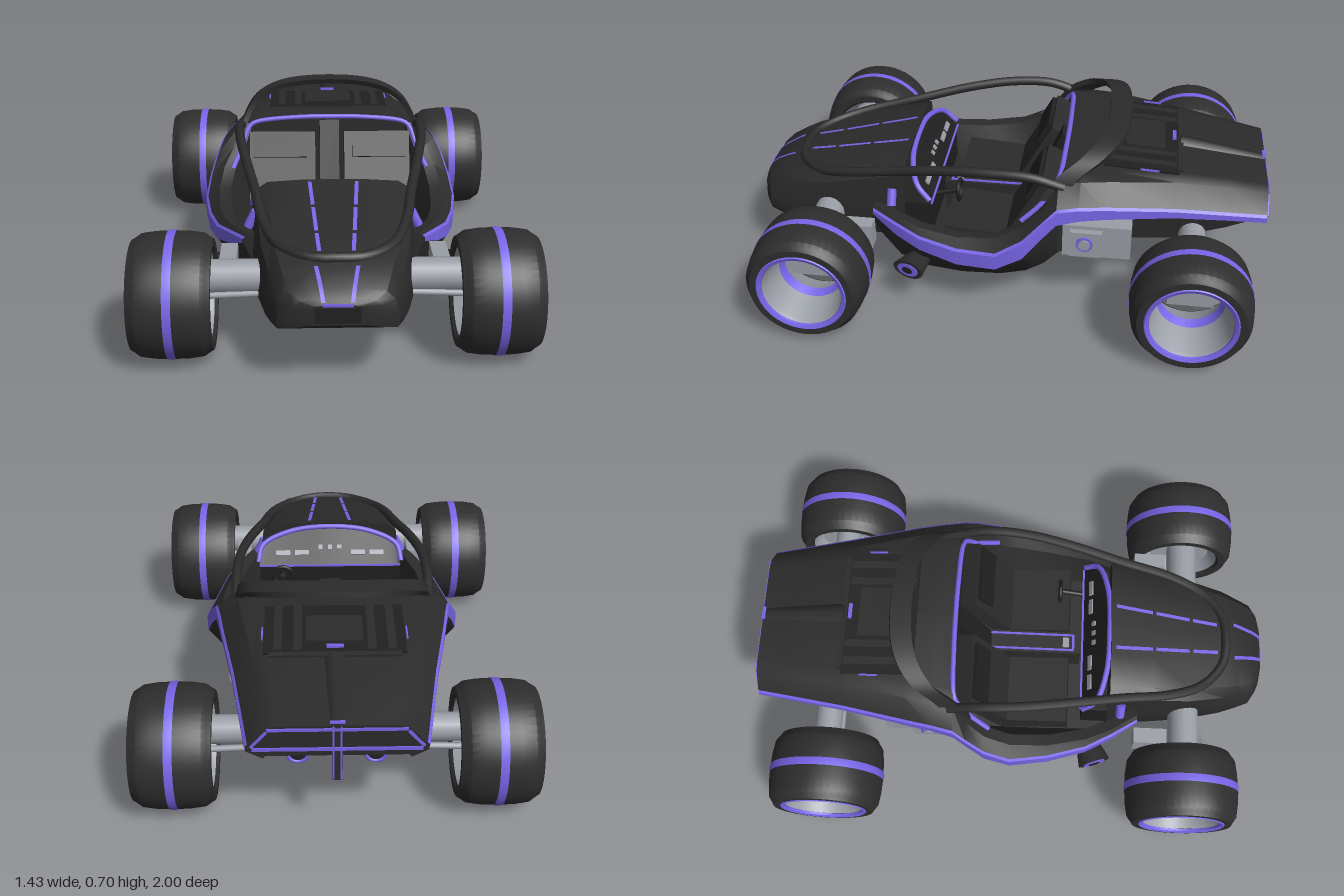
import * as THREE from 'three';
import { toCreasedNormals } from 'three/addons/utils/BufferGeometryUtils.js';

const V = (x, y, z) => new THREE.Vector3(x, y, z);
const mat = (name, color) => new THREE.MeshStandardMaterial({ name, color, side: THREE.DoubleSide });

export function createModel() {
  const car = new THREE.Group();
  car.name = 'buggy';
  const body = mat('body black', 0x2b2b2b), dark = mat('deep black', 0x202020);
  const rubber = mat('tyre black', 0x2e2e2e), purple = mat('trim purple', 0x7b68ee);
  const metal = mat('metal grey', 0x9a9ea6);

  const add = (name, geo, material, parent = car) => {
    const m = new THREE.Mesh(geo, material);
    m.name = name;
    parent.add(m);
    return m;
  };
  const box = (name, material, [w, h, d], [x, y, z], rx = 0) => {
    const m = add(name, new THREE.BoxGeometry(w, h, d), material);
    m.position.set(x, y, z);
    m.rotation.x = rx;
    return m;
  };
  // cylinder between two points
  const rod = (name, material, a, b, r, r2 = r, sides = 16) => {
    const m = add(name, new THREE.CylinderGeometry(r2, r, a.distanceTo(b), sides), material);
    m.position.copy(a).lerp(b, 0.5);
    m.quaternion.setFromUnitVectors(V(0, 1, 0), b.clone().sub(a).normalize());
    return m;
  };
  const tube = (name, material, pts, r) =>
    add(name, new THREE.TubeGeometry(new THREE.CatmullRomCurve3(pts), 64, r, 8), material);
  // half a path, mirrored across x = 0
  const mirrored = pts => [...pts, ...pts.filter(p => p.x !== 0).reverse().map(p => V(-p.x, p.y, p.z))];

  // skin over rows of points, optionally as closed rings with end caps
  const loft = (rows, closed) => {
    const n = rows[0].length, index = [];
    for (let i = 0; i < rows.length - 1; i++)
      for (let j = 0; j < (closed ? n : n - 1); j++) {
        const a = i * n + j, b = i * n + (j + 1) % n;
        index.push(a, a + n, b, b, a + n, b + n);
      }
    if (closed) [0, rows.length - 1].forEach((r, k) => {
      const flat = rows[r].map(p => new THREE.Vector2(p.x, p.y));
      for (const [a, b, c] of THREE.ShapeUtils.triangulateShape(flat, []))
        index.push(r * n + a, r * n + (k ? c : b), r * n + (k ? b : c));
    });
    const g = new THREE.BufferGeometry().setFromPoints(rows.flat());
    g.setIndex(index);
    return toCreasedNormals(g, 0.6);
  };
  // ring from a half outline running bottom centre to top centre
  const ring = (z, half) => mirrored(half.map(([x, y]) => V(x, y, z)));

  // ---- nose and hood: z, half width, bottom, shoulder, top
  const nose = [
    [1.0, .1, .265, .32, .34], [.988, .16, .25, .33, .355], [.96, .205, .235, .34, .378], [.9, .228, .225, .36, .41],
    [.84, .248, .22, .385, .433], [.7, .28, .22, .415, .462], [.55, .297, .22, .455, .496],
    [.45, .305, .22, .48, .518], [.38, .31, .22, .497, .535]];
  add('hood', loft(nose.map(([z, w, b, s, t]) => ring(z, [[0, b], [w * .97, b], [w, b + .02],
    [w * .97, (b + s) / 2], [w * .92, s], [w * .78, s + (t - s) * .75], [w * .4, t - .002], [0, t]])), true), body);
  const hoodY = z => {
    const i = Math.max(1, nose.findIndex(r => r[0] <= z));
    const [a, b] = [nose[i - 1], nose[i]];
    return a[4] + (b[4] - a[4]) * (z - a[0]) / (b[0] - a[0]);
  };
  const ribbon = (z0, z1, x0, x1, w) => {
    const rows = [];
    for (let i = 0; i <= 6; i++) {
      const t = i / 6, z = z0 + (z1 - z0) * t, x = x0 + (x1 - x0) * t, y = hoodY(z) + .004;
      rows.push([V(x - w, y, z), V(x + w, y, z)]);
    }
    add('hoodStripe', loft(rows, false), purple);
  };
  for (const s of [-1, 1]) {
    [[.81, .71], [.695, .56], [.545, .4]].forEach(([a, b]) =>
      ribbon(a, b, s * (.058 + (.81 - a) * .07), s * (.058 + (.81 - b) * .07), .007));
    ribbon(.998, .88, s * .048, s * .07, .007);
  }
  box('noseStripeBar', purple, [.1, .01, .006], [0, .337, .999]);
  box('nosePlate', dark, [.15, .055, .008], [0, .3, .998]);

  // ---- tub and tail: z, bottom, bottom x, side x, stripe low, stripe high, rim x, rim y
  const tub = [
    [.5, .24, .29, .33, .335, .35, .31, .37], [.4, .15, .33, .39, .29, .335, .37, .36],
    [.3, .12, .35, .44, .265, .315, .41, .345], [.15, .11, .36, .48, .24, .3, .44, .335],
    [0, .115, .36, .505, .25, .31, .45, .355], [-.1, .14, .36, .493, .3, .37, .435, .41],
    [-.17, .18, .355, .468, .38, .44, .4, .47], [-.22, .23, .35, .446, .43, .485, .365, .56]];
  const tail = [
    tub[7], [-.3, .25, .3, .43, .445, .492, .355, .565], [-.4, .255, .26, .412, .45, .49, .34, .567],
    [-.65, .27, .25, .36, .443, .47, .285, .55], [-.85, .33, .24, .325, .425, .447, .255, .522],
    [-.995, .39, .235, .3, .41, .43, .235, .5]];
  add('tub', loft(tub.map(([z, b, bx, sx, lo, hi, rx, ry]) => {
    const floor = Math.max(.19, b + .02);
    return ring(z, [[0, b], [bx, b], [sx, lo], [sx, hi], [rx, ry], [rx - .045, ry - .005],
      [Math.min(.33, rx - .06), floor], [0, floor]]);
  }), true), body);
  add('rearDeck', loft(tail.map(([z, b, bx, sx, lo, hi, rx, ry]) => ring(z, [[0, b], [bx, b], [bx + .01, lo - .03],
    [sx, lo], [sx, hi], [rx, ry], [rx * .82, ry + .012], [0, ry + .012]])), true), body);
  for (const s of [-1, 1])
    add('sideStripe', loft([...tub, ...tail.slice(1)].map(r => [V(s * (r[3] + .003), r[4], r[0]),
      V(s * (r[3] + .003), r[5], r[0]), V(s * (r[3] - .006), r[5] + .009, r[0])]), false), purple);

  // ---- engine cover louvres and spine
  box('engineBay', dark, [.5, .008, .28], [0, .573, -.52], -.066);
  for (const x of [-.2, -.13, .13, .2]) box('louvre', body, [.03, .014, .26], [x, .577, -.52], -.066);
  box('engineCover', body, [.2, .016, .15], [0, .578, -.53], -.066);
  box('bayEdge', body, [.46, .014, .02], [0, .561, -.665], -.1);
  rod('tailSpine', body, V(0, .53, -.66), V(0, .485, -.99), .05, .036, 8);
  box('spineTip', purple, [.06, .008, .014], [0, .582, -.64]);

  // ---- rear face trim, fin and exhausts
  box('tailFin', body, [.035, .23, .06], [0, .4, -.966]);
  box('finCap', purple, [.05, .006, .012], [0, .522, -.99]);
  box('tailTrimLow', purple, [.56, .012, .006], [0, .418, -.997]);
  box('tailTrimHigh', purple, [.46, .01, .006], [0, .497, -.997]);
  for (const s of [-1, 1]) {
    box('bayTrim', purple, [.006, .006, .07], [s * .256, .576, -.55], -.066);
    box('finTrim', purple, [.006, .22, .006], [s * .013, .4, -.998]);
    box('tailTrimEnd', purple, [.01, .08, .006], [s * .258, .458, -.997]).rotation.z = s * .7;
    rod('exhaust', dark, V(s * .13, .355, -.8), V(s * .13, .365, -.95), .034);
    add('exhaustRing', new THREE.TorusGeometry(.036, .007, 8, 24), purple).position.set(s * .13, .365, -.95);
  }
  for (const x of [-.19, 0, .19]) box('strake', body, [.022, .05, .5], [x, .25, -.48], .08);

  // ---- roof rails and roll hoop
  tube('roofRail', body, mirrored([V(.365, .545, -.24), V(.368, .58, -.12), V(.358, .58, .04), V(.328, .556, .22),
    V(.285, .51, .43), V(.25, .468, .62), V(.195, .44, .75), V(.1, .432, .83), V(0, .434, .845)]), .019);
  const hoop = new THREE.CatmullRomCurve3(mirrored([V(.375, .49, -.19), V(.348, .575, -.25), V(.3, .636, -.34),
    V(.2, .673, -.405), V(0, .687, -.43)])).getPoints(40);
  add('rollHoop', loft(hoop.map((p, i) => {
    const t = hoop[Math.min(i + 1, 40)].clone().sub(hoop[Math.max(i - 1, 0)]).setZ(0).normalize();
    const c = (h, d) => V(p.x - t.y * h, p.y + t.x * h, p.z + d);
    return [c(-.011, -.04), c(-.011, .04), c(.011, .03), c(.011, -.045)];
  }), true), body);
  tube('firewallTrim', purple, mirrored([V(.4, .405, -.085), V(.366, .47, -.16), V(.335, .545, -.21),
    V(.31, .562, -.22), V(.14, .58, -.228), V(0, .582, -.23)]), .01);

  // ---- dashboard and steering
  const arc = mirrored([V(.305, .4, .28), V(.285, .455, .33), V(.17, .5, .367), V(0, .518, .375)]);
  tube('dashTrim', purple, arc, .011);
  const dashTop = new THREE.CatmullRomCurve3(arc).getPoints(24);
  add('dashboard', loft([dashTop, dashTop.map(p => V(p.x, .38, .275))], false), dark);
  box('dashBase', dark, [.6, .15, .1], [0, .305, .33]);
  box('dashEdge', purple, [.6, .006, .008], [0, .382, .274]);
  for (const x of [-.2, -.12, .12, .2]) box('gauge', metal, [.06, .02, .006], [x, .43, .303], .64);
  for (const x of [-.04, 0, .04]) box('switch', metal, [.018, .018, .006], [x, .45, .315], .64);
  add('steeringWheel', new THREE.TorusGeometry(.04, .008, 8, 24), dark).position.set(.2, .39, .18);
  rod('steeringColumn', dark, V(.2, .39, .18), V(.2, .36, .29), .01);

  // ---- seats and console
  for (const s of [-1, 1]) {
    box('seatBase', body, [.27, .09, .27], [s * .195, .25, .09], -.08);
    box('seatBack', body, [.27, .34, .07], [s * .195, .375, -.105], -.5);
    box('headrest', dark, [.22, .1, .05], [s * .205, .485, -.135], -.5);
    box('consoleTrim', purple, [.008, .006, .34], [s * .032, .322, .07]);
  }
  box('console', body, [.09, .14, .42], [0, .25, .06]);
  box('consoleEnd', purple, [.07, .006, .01], [0, .322, .24]);
  box('consoleScreen', metal, [.04, .006, .025], [0, .323, .21]);
  box('backPad', dark, [.08, .32, .04], [0, .42, -.16], -.4);

  // ---- wheels
  const lathe = pts => toCreasedNormals(new THREE.LatheGeometry(pts.map(p => new THREE.Vector2(...p)), 48), .5);
  const tyre = lathe([[.158, -.13], [.168, -.142], [.195, -.142], [.203, -.128], [.216, -.11], [.223, -.06], [.225, 0],
    [.223, .06], [.216, .11], [.203, .128], [.195, .142], [.168, .142], [.158, .13]]);
  const rim = lathe([[.16, .13], [.15, .11], [.136, .03], [.115, -.03], [.138, -.08], [.16, -.13]]);
  const band = lathe([[.2265, -.015], [.2275, 0], [.2265, .015]]);
  const lip = lathe([[.15, .132], [.152, .14], [.166, .146], [.17, .142]]);
  const innerBand = lathe([[.112, -.03], [.116, -.018], [.124, .004]]);
  // brake carrier: disc with its lower part cut away
  const carrier = new THREE.ExtrudeGeometry(new THREE.Shape().absarc(0, 0, .122, -.45, Math.PI + .45, false),
    { depth: .03, bevelEnabled: false, curveSegments: 32 }).rotateY(Math.PI / 2);
  for (const s of [-1, 1]) for (const z of [.69, -.73]) {
    const w = new THREE.Group();
    w.name = z > 0 ? 'frontWheel' : 'rearWheel';
    w.position.set(s * .568, .226, z);
    w.rotation.z = -s * Math.PI / 2;
    car.add(w);
    add('tyre', tyre, rubber, w);
    add('rim', rim, metal, w);
    add('tyreStripe', band, purple, w);
    add('rimLip', lip, purple, w);
    add('rimBand', innerBand, purple, w);
    // upright and suspension
    add('brakeCarrier', carrier, metal).position.set(s * .49 - .015, .226, z);
    box('upright', metal, [.05, .13, .17], [s * .515, .245, z]);
    for (const d of [-.045, .045]) box('uprightMark', purple, [.006, .06, .014], [s * .542, .285, z + d]);
    rod('axle', metal, V(s * .22, .295, z), V(s * .47, .295, z), z > 0 ? .06 : .052);
    for (const d of [-.045, .045]) rod('lowerArm', metal, V(s * .23, .25, z + d), V(s * .5, .24, z + d), .012, .012, 8);
  }
  for (const s of [-1, 1]) {
    box('steeringBox', metal, [.06, .1, .13], [s * .38, .28, .555]);
    rod('shock', purple, V(s * .285, .43, .43), V(s * .315, .37, .43), .018);
    // motor casing ahead of the rear wheel
    box('motorCase', metal, [.12, .14, .26], [s * .31, .31, -.37]);
    box('motorCover', metal, [.03, .11, .12], [s * .38, .31, -.33]);
    rod('motorRing', purple, V(s * .39, .315, -.325), V(s * .4, .315, -.325), .032);
    rod('motorBolt', metal, V(s * .39, .315, -.325), V(s * .406, .315, -.325), .022);
    // side lamp pod
    const pod = new THREE.Group();
    pod.name = 'lampPod';
    pod.position.set(s * .37, .18, .31);
    pod.rotation.y = -s * .35;
    pod.scale.set(1, .75, 1.25);
    car.add(pod);
    const part = (name, m, x0, x1, r0, r1) => pod.add(rod(name, m, V(s * x0, 0, 0), V(s * x1, 0, 0), r0, r1));
    part('podShell', body, 0, .1, .035, .052);
    part('podRing', purple, .098, .104, .036, .036);
    part('podLens', dark, .1, .107, .018, .018);
  }
  return car;
}
